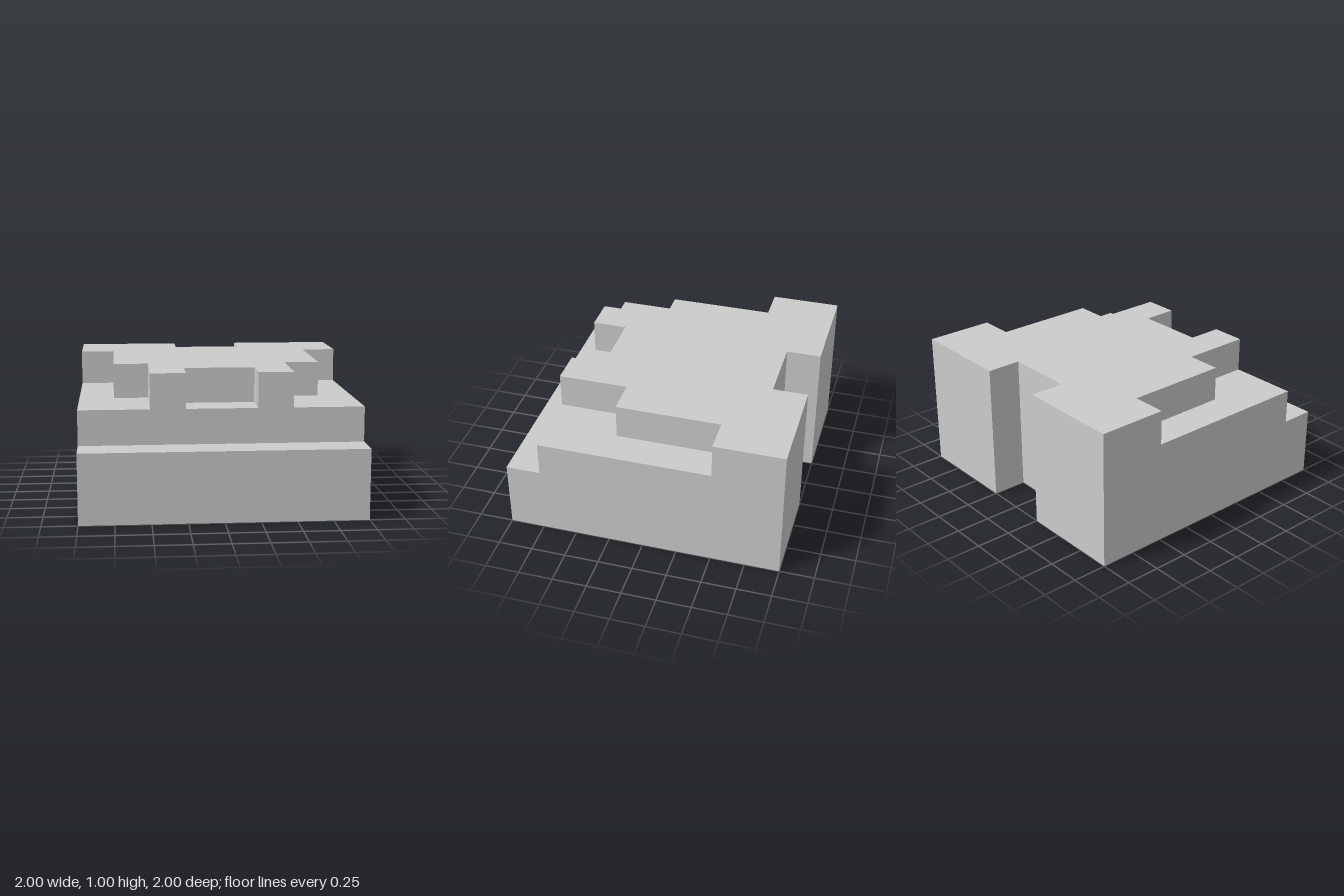
import * as THREE from 'three';

const material = new THREE.MeshStandardMaterial({ color: 0xcccccc, flatShading: true });

// Extrudes a mirrored plan outline; half lists [x, z] on the +x side, front to back
function layer(name, half, bottom, top) {
  const mirrored = half.map(([x, z]) => [-x, z]).reverse();
  const outline = [...half, ...mirrored].map(([x, z]) => new THREE.Vector2(x, -z));
  const geometry = new THREE.ExtrudeGeometry(new THREE.Shape(outline), {
    depth: top - bottom,
    bevelEnabled: false,
  });
  geometry.rotateX(-Math.PI / 2);
  const mesh = new THREE.Mesh(geometry, material);
  mesh.name = name;
  mesh.position.y = bottom;
  return mesh;
}

export function createModel() {
  const group = new THREE.Group();
  group.name = 'steppedBlock';

  // Back edge with its full-height slot, shared by all layers
  const back = [[1, -1], [0.25, -1], [0.25, -0.75]];

  // Base with the low front step
  group.add(layer('base', [[1, 1], ...back], 0, 0.5));

  // Middle tier, set back from the front
  group.add(layer('middleTier', [[1, 0.75], ...back], 0.5, 0.75));

  // Top plate with front notch and stepped side cutouts
  group.add(layer('topPlate', [
    [0.25, 0.5], [0.25, 0.75], [0.5, 0.75], [0.5, 0.25],
    [0.75, 0.25], [0.75, -0.5], [1, -0.5], ...back,
  ], 0.75, 1));

  return group;
}
